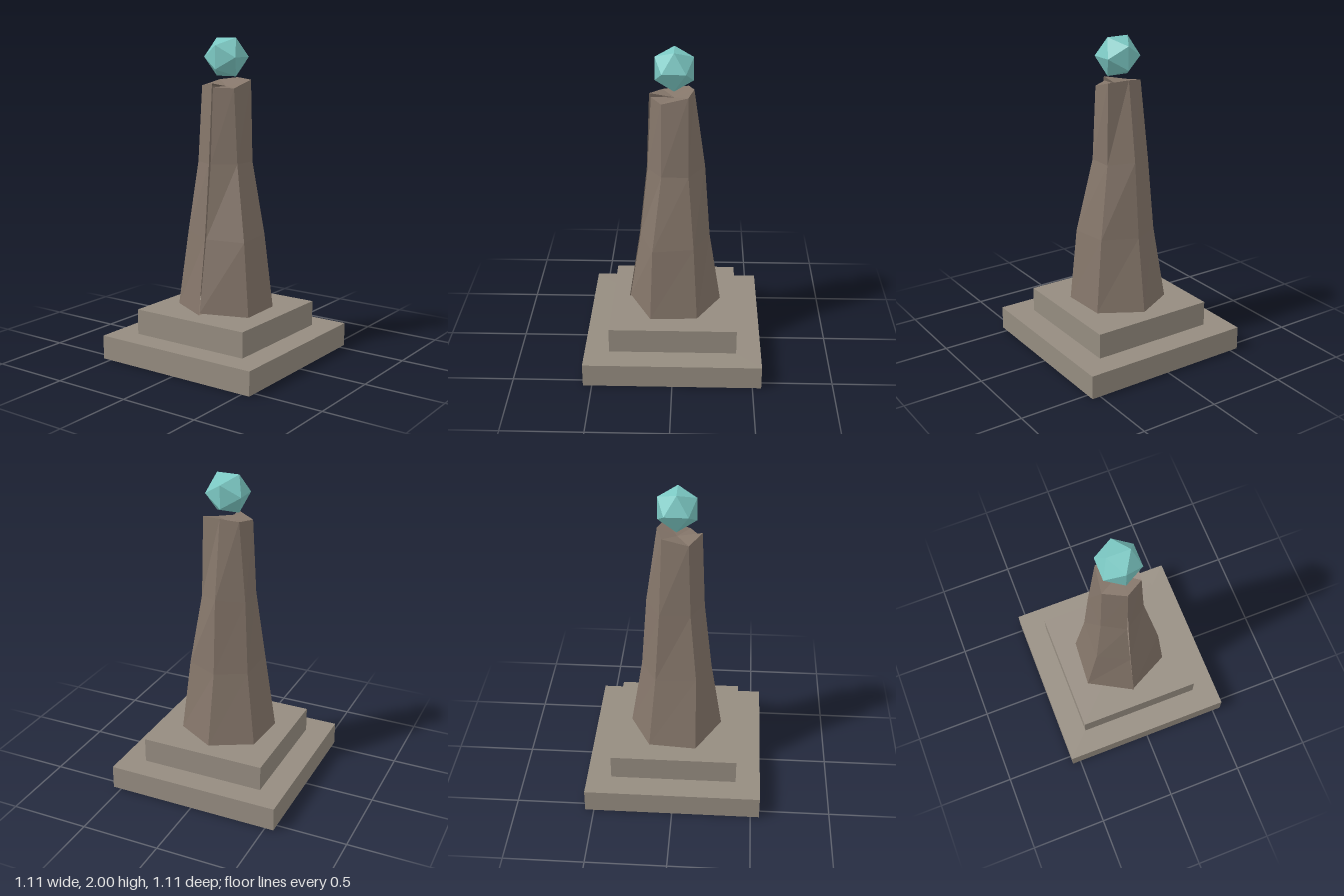
import * as THREE from 'three';

const mat = (color, side = THREE.FrontSide) =>
  new THREE.MeshStandardMaterial({ color, flatShading: true, side });

// Weathered six-sided shaft: each ring lists [x, y, z] corners from the front
// seam round through +x and back to the seam, top ring first.
const RINGS = [
  [[0, 1.705, 0.14], [0.11, 1.70, 0.075], [0.125, 1.745, -0.085], [0, 1.755, -0.12],
    [-0.11, 1.74, -0.085], [-0.13, 1.71, 0.075], [0, 1.73, 0.15]],
  [[0, 1.24, 0.165], [0.135, 1.24, 0.075], [0.135, 1.24, -0.09], [0, 1.26, -0.19],
    [-0.16, 1.24, -0.10], [-0.15, 1.24, 0.09], [-0.01, 1.24, 0.17]],
  [[0, 0.78, 0.215], [0.225, 0.77, 0.13], [0.205, 0.78, -0.125], [-0.005, 0.78, -0.225],
    [-0.19, 0.78, -0.125], [-0.2, 0.80, 0.13], [-0.005, 0.78, 0.22]],
  [[0, 0.325, 0.285], [0.268, 0.31, 0.145], [0.255, 0.31, -0.15], [0, 0.31, -0.30],
    [-0.255, 0.31, -0.165], [-0.277, 0.31, 0.135], [0, 0.315, 0.292]],
];

function shaftGeometry() {
  const sides = 6;
  const geo = new THREE.CylinderGeometry(0.14, 0.3, 1.42, sides, RINGS.length - 1);
  const pos = geo.attributes.position;
  let i = 0;
  const place = (points) => points.forEach((p) => pos.setXYZ(i++, ...p));
  RINGS.forEach(place);
  // Caps: one centre point per side, followed by the matching rim
  [[RINGS[0], 1.705], [RINGS[RINGS.length - 1], 0.31]].forEach(([rim, y]) => {
    place(Array.from({ length: sides }, () => [0, y, 0]));
    place(rim);
  });
  geo.computeVertexNormals();
  return geo;
}

export function createModel() {
  const model = new THREE.Group();
  model.name = 'crystalObelisk';
  const add = (name, geometry, material, y = 0) => {
    const mesh = new THREE.Mesh(geometry, material);
    mesh.name = name;
    mesh.position.y = y;
    model.add(mesh);
  };

  // Stepped square plinth
  const stone = mat(0x958c80);
  add('lowerStep', new THREE.BoxGeometry(1.11, 0.15, 1.11), stone, 0.075);
  add('upperStep', new THREE.BoxGeometry(0.8, 0.16, 0.8), stone, 0.23);

  // Rough tapering pillar
  add('shaft', shaftGeometry(), mat(0x85766a, THREE.DoubleSide));

  // Floating crystal
  add('crystal', new THREE.IcosahedronGeometry(0.137, 0), mat(0x7cc9c4), 1.884);

  return model;
}
